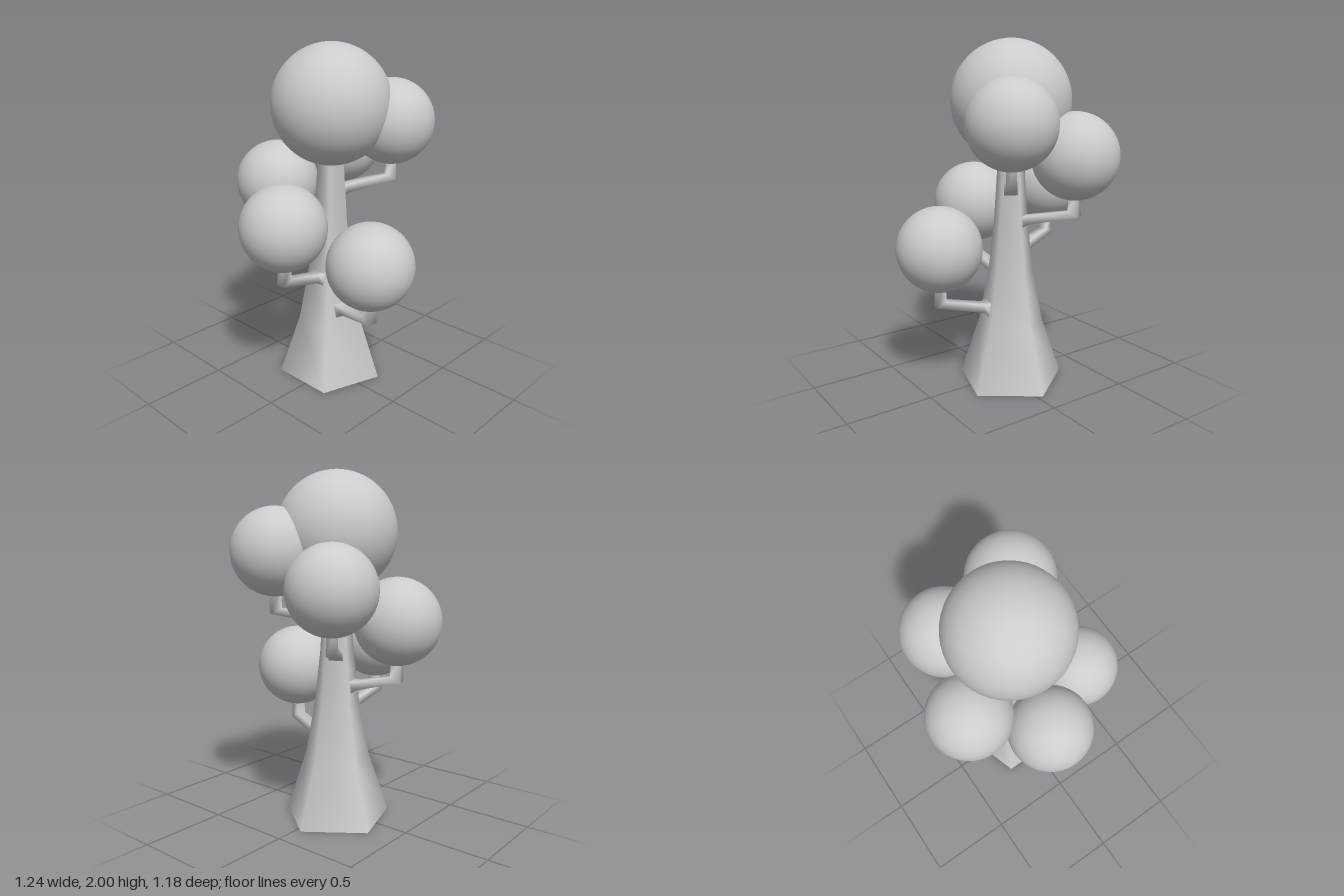
import * as THREE from 'three';

const AXIS = { x: -0.035, z: -0.04 };
// Trunk profile: [radius, height]
const PROFILE = [[0.32, 0], [0.197, 0.36], [0.137, 0.68], [0.102, 0.98], [0.075, 1.4]];

// Trunk corner radius at height y
function trunkRadius(y) {
  for (let i = 1; i < PROFILE.length; i++) {
    const [r0, y0] = PROFILE[i - 1], [r1, y1] = PROFILE[i];
    if (y <= y1) return r0 + (r1 - r0) * (y - y0) / (y1 - y0);
  }
  return PROFILE[PROFILE.length - 1][0];
}

// Four-sided limb: leaves a trunk face, thins out, then turns straight up
function branchGeometry(reach, elbowY, topY) {
  const rootY = elbowY - 0.04;
  const R = trunkRadius(rootY), face = R * 0.809;
  // Each ring: lower/outer point, upper/inner point, half width
  const rings = [
    [face * 0.75, rootY - 0.015 - R * 0.4, face * 0.75, rootY - 0.015 + R * 0.35, R * 0.45],
    [face + 0.03, elbowY - 0.06, face + 0.03, elbowY - 0.01, 0.036],
    [reach + 0.03, elbowY, reach - 0.03, elbowY + 0.032, 0.03],
    [reach + 0.026, topY, reach - 0.026, topY, 0.026],
  ];
  const pos = [], idx = [];
  rings.forEach(([xa, ya, xb, yb, w], i) => {
    pos.push(xa, ya, -w, xa, ya, w, xb, yb, w, xb, yb, -w);
    if (i === rings.length - 1) return;
    for (let j = 0; j < 4; j++) {
      const a = i * 4 + j, b = i * 4 + (j + 1) % 4;
      idx.push(a, a + 4, b, b, a + 4, b + 4);
    }
  });
  const geo = new THREE.BufferGeometry();
  geo.setAttribute('position', new THREE.Float32BufferAttribute(pos, 3));
  geo.setIndex(idx);
  geo.computeVertexNormals();
  return geo;
}

export function createModel() {
  const group = new THREE.Group();
  const material = new THREE.MeshStandardMaterial({ color: 0xcccccc });
  const add = (name, geo, x, y, z) => {
    const mesh = new THREE.Mesh(geo, material);
    mesh.name = name;
    mesh.position.set(x, y, z);
    group.add(mesh);
    return mesh;
  };

  // Five-sided trunk with a corner at the back
  const points = PROFILE.map(([r, y]) => new THREE.Vector2(r, y));
  add('trunk', new THREE.LatheGeometry(points, 5, Math.PI), AXIS.x, 0, AXIS.z);
  const base = new THREE.CircleGeometry(PROFILE[0][0], 5, Math.PI / 2).rotateX(Math.PI / 2);
  base.scale(1, 1, -1);
  const index = base.index.array;
  // Put the corner at the back and keep the face downward
  for (let i = 0; i < index.length; i += 3) [index[i], index[i + 1]] = [index[i + 1], index[i]];
  add('trunkBase', base, AXIS.x, 0, AXIS.z);

  // Crown
  add('crownFoliage', new THREE.SphereGeometry(0.34, 48, 32), AXIS.x, 1.66, AXIS.z);

  // One branch and foliage ball for each trunk face
  const limbs = [
    ['left', 0.375, 0.84, 0.08],
    ['front', -0.03, 1.03, 0.345],
    ['right', -0.378, 1.175, 0.067],
    ['backRight', -0.25, 1.365, -0.345],
    ['backLeft', 0.168, 1.555, -0.325],
  ];
  for (const [side, x, y, z] of limbs) {
    const dx = x - AXIS.x, dz = z - AXIS.z;
    const branch = add(side + 'Branch', branchGeometry(Math.hypot(dx, dz), y - 0.34, y - 0.2),
      AXIS.x, 0, AXIS.z);
    branch.rotation.y = Math.atan2(-dz, dx);
    add(side + 'Foliage', new THREE.SphereGeometry(0.245, 40, 28), x, y, z);
  }
  return group;
}
